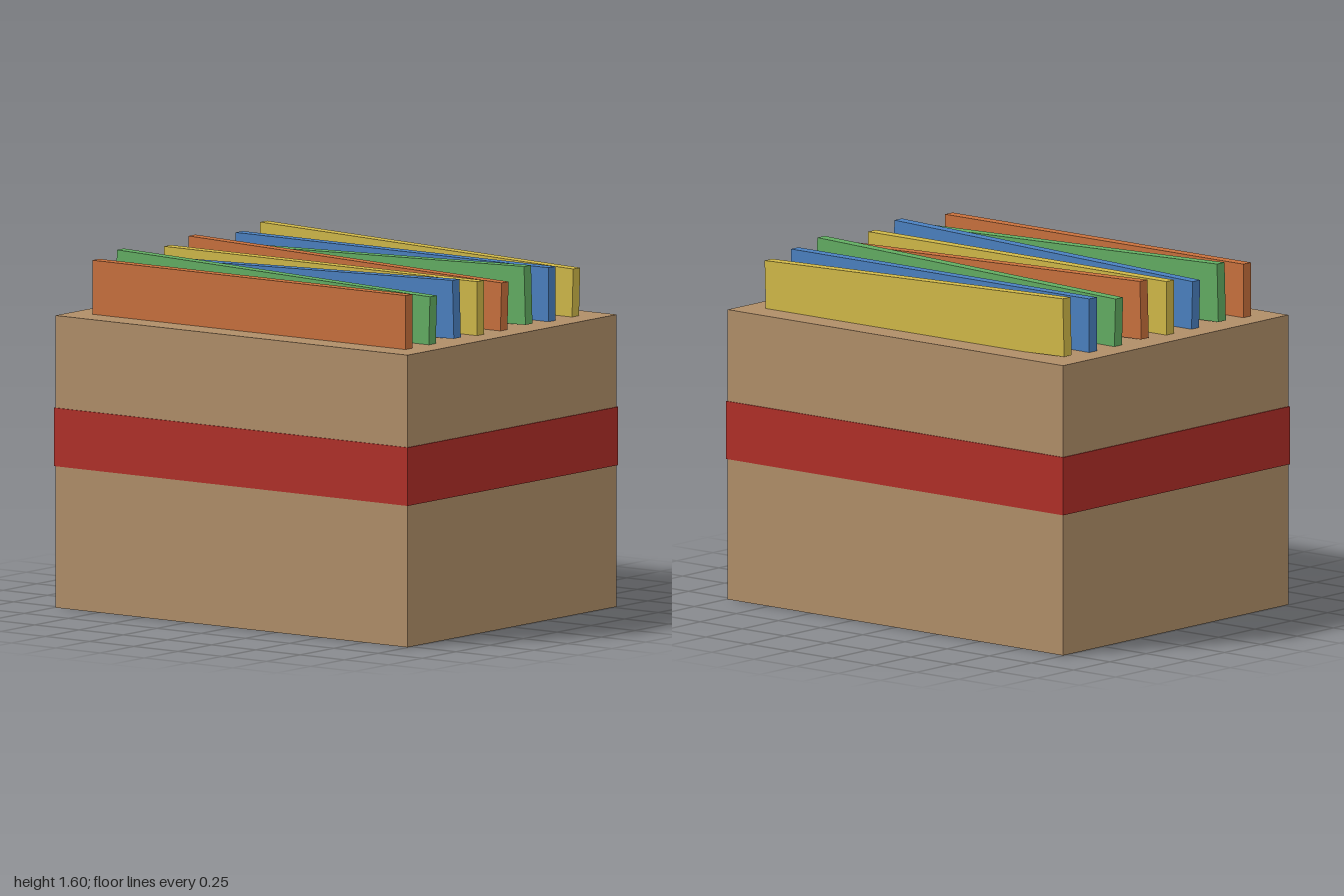
import * as THREE from 'three';

function box(name, size, color, y) {
  const mesh = new THREE.Mesh(
    new THREE.BoxGeometry(...size),
    new THREE.MeshStandardMaterial({ color })
  );
  mesh.name = name;
  mesh.position.y = y;
  return mesh;
}

export function createModel() {
  const group = new THREE.Group();
  group.name = 'fileCrate';

  // Solid crate with a band wrapped around it
  group.add(box('crate', [1.99, 1.328, 1.552], 0xb08e68, 0.664));
  group.add(box('band', [2, 0.265, 1.562], 0xb02e27, 0.776));

  // Row of folders standing in the crate, front to back, leaning in turn
  const colors = [0xc8703c, 0x62ad62, 0x4a80c0, 0xd0b848];
  const tilts = [0, -0.03, 0.03];
  const folders = new THREE.Group();
  folders.name = 'folders';
  for (let i = 0; i < 8; i++) {
    const folder = box('folder', [1.77, 0.265, 0.052], colors[i % 4], 1.441);
    folder.position.z = 0.62 - i * 0.177;
    folder.rotation.z = tilts[i % 3];
    folders.add(folder);
  }
  group.add(folders);
  return group;
}
